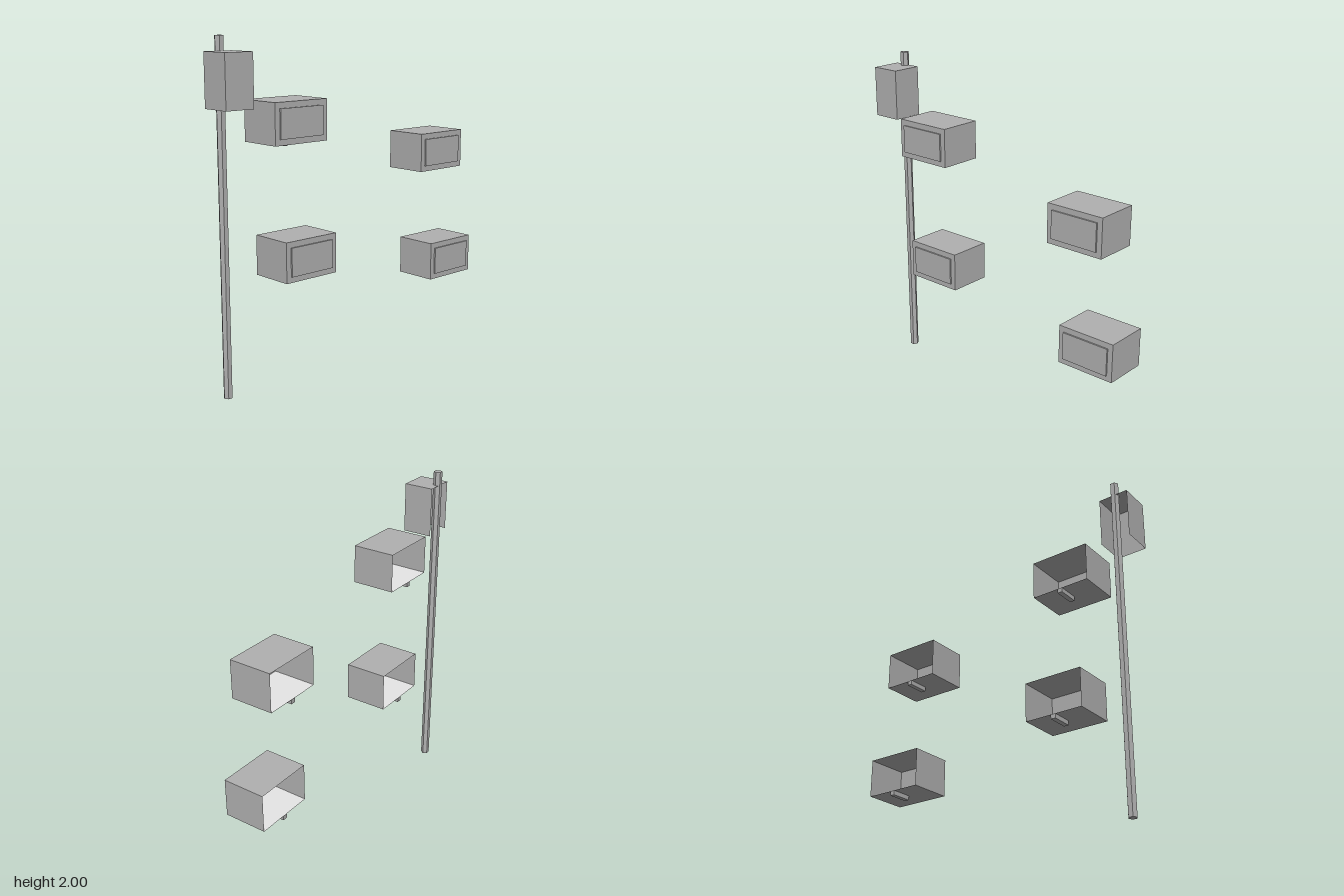
import * as THREE from 'three';

const grey = new THREE.MeshStandardMaterial({ color: 0xb0b0b0, side: THREE.DoubleSide });
grey.name = 'grey';
const pale = new THREE.MeshStandardMaterial({ color: 0xe6e6e6 });
pale.name = 'pale lining';

function add(parent, name, geometry, material, x, y, z) {
  const mesh = new THREE.Mesh(geometry, material);
  mesh.name = name;
  mesh.position.set(x, y, z);
  parent.add(mesh);
  return mesh;
}

// Box shell without the listed sides (order: +x, -x, +y, -y, +z, -z)
function openBox(w, h, d, openSides) {
  const geometry = new THREE.BoxGeometry(w, h, d);
  const index = Array.from(geometry.index.array);
  geometry.setIndex(index.filter((_, i) => !openSides.includes(Math.floor(i / 6))));
  geometry.clearGroups();
  return geometry;
}

// Cabinet open at the rear (-x), with a raised panel and a small bracket below
function makeCabinet(y, z) {
  const w = 0.265, h = 0.232, d = 0.364;
  const cabinet = new THREE.Group();
  cabinet.name = 'cabinet';
  cabinet.position.set(-0.007, y, z);
  add(cabinet, 'cabinetShell', openBox(w, h, d, [1]), grey, 0, h / 2, 0);
  add(cabinet, 'facePanel', new THREE.BoxGeometry(0.009, 0.165, 0.3), grey, w / 2 + 0.0045, h / 2, 0);
  add(cabinet, 'bracket', new THREE.BoxGeometry(0.13, 0.027, 0.03), grey, -0.068, -0.0135, 0);
  const lining = new THREE.PlaneGeometry(w - 0.002, d - 0.002).rotateX(-Math.PI / 2);
  add(cabinet, 'floorLining', lining, pale, 0, 0.002, 0);
  return cabinet;
}

export function createModel() {
  const model = new THREE.Group();
  model.name = 'poleAndCabinets';

  // Six-sided pole
  const pole = new THREE.CylinderGeometry(0.026, 0.026, 2, 6).toNonIndexed();
  pole.computeVertexNormals();
  add(model, 'pole', pole, grey, -0.098, 1, 0.849);

  // Hood around the pole top, open at the rear and below
  add(model, 'hood', openBox(0.185, 0.298, 0.18, [1, 3]), grey, -0.023, 1.769, 0.846);

  // Cabinets: floor height and z centre
  for (const [y, z] of [[1.42, 0.481], [1.154, -0.651], [0.655, 0.416], [0.455, -0.752]]) {
    model.add(makeCabinet(y, z));
  }
  return model;
}
